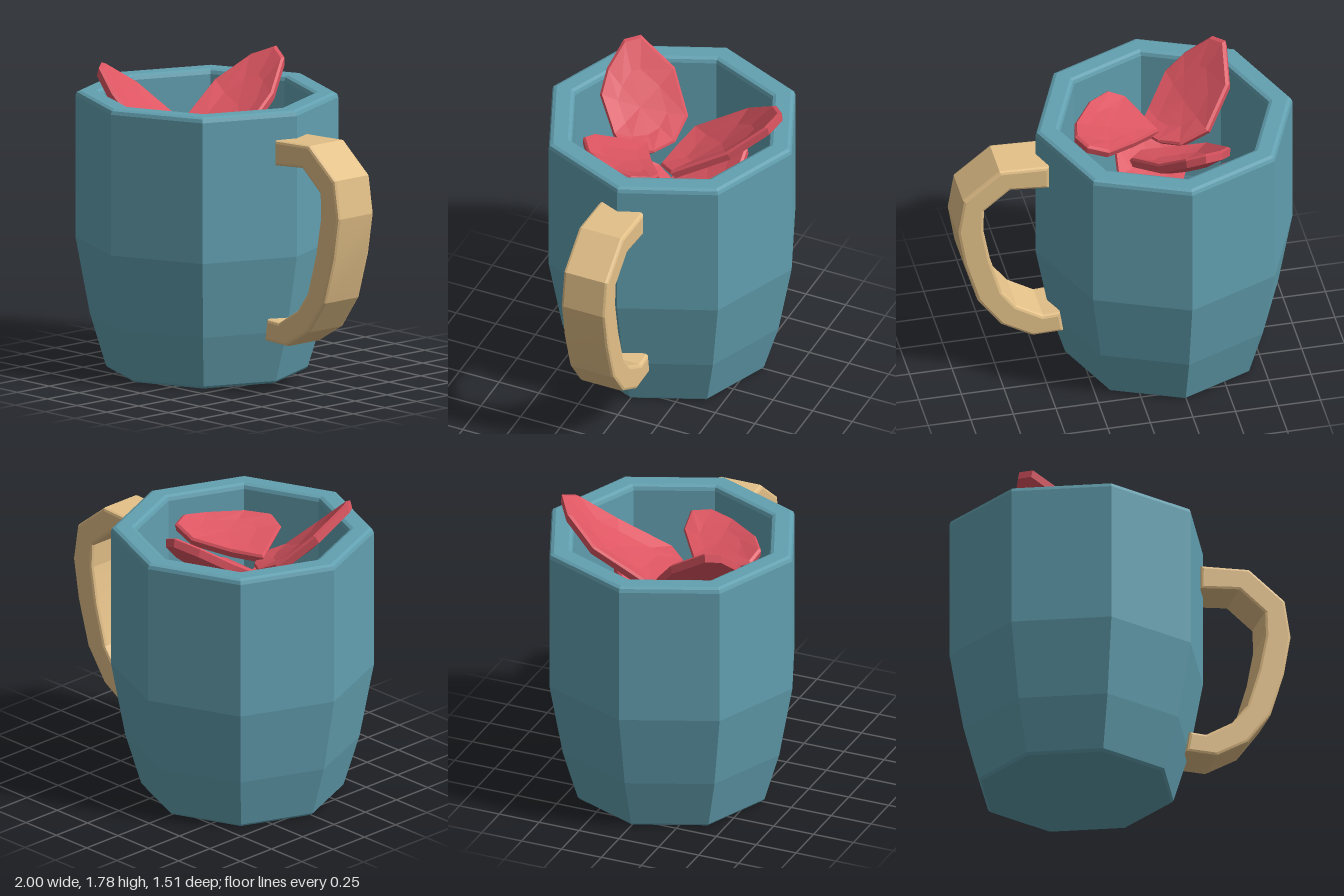
import * as THREE from 'three';
import { toCreasedNormals } from 'three/addons/utils/BufferGeometryUtils.js';

const material = (color, flatShading = true) => new THREE.MeshStandardMaterial({ color, flatShading });

function part(name, geometry, mat) {
  const mesh = new THREE.Mesh(geometry, mat);
  mesh.name = name;
  return mesh;
}

// Thick cupped petal. The outline is [x, z], clockwise from above; the height
// rises from inner to outer along a heading, and the sides curl up by cup.
function petalGeometry({ outline, heading, inner, outer, power = 1.5, cup = 0.06, thickness = 0.055 }) {
  const n = outline.length;
  const dir = new THREE.Vector2(...heading).normalize();
  const side = new THREE.Vector2(-dir.y, dir.x);
  const flat = outline.map((p) => new THREE.Vector2(...p));
  const centre = flat.reduce((a, p) => a.add(p), new THREE.Vector2()).divideScalar(n);
  const along = flat.map((p) => p.dot(dir));
  const lo = Math.min(...along), hi = Math.max(...along);
  const half = Math.max(...flat.map((p) => Math.abs(p.clone().sub(centre).dot(side))));
  const lift = (p) => {
    const t = Math.max(0, (p.dot(dir) - lo) / (hi - lo));
    const s = p.clone().sub(centre).dot(side) / half;
    return new THREE.Vector3(p.x, inner + (outer - inner) * t ** power + cup * s * s * t, p.y);
  };
  // underside shifts against the petal's average normal
  const tilt = (outer - inner) / (hi - lo);
  const under = new THREE.Vector3(tilt * dir.x, -1, tilt * dir.y).normalize().multiplyScalar(thickness);
  const ring = (scale, depth) => flat.map((p) =>
    lift(centre.clone().lerp(p, scale)).addScaledVector(under, depth));
  const rings = [ring(0, 0), ring(0.55, 0), ring(0.94, 0), ring(0.99, 0.3),
    ring(0.95, 1), ring(0.55, 1), ring(0, 1)];

  const verts = [];
  const tri = (...ps) => ps.forEach((p) => verts.push(p.x, p.y, p.z));
  for (let k = 0; k < rings.length - 1; k++) {
    for (let i = 0; i < n; i++) {
      const j = (i + 1) % n;
      const [a, b, c, d] = [rings[k][i], rings[k][j], rings[k + 1][i], rings[k + 1][j]];
      if (k < rings.length - 2) tri(a, d, c);
      if (k > 0) tri(a, b, k < rings.length - 2 ? d : c);
    }
  }
  const g = new THREE.BufferGeometry();
  g.setAttribute('position', new THREE.Float32BufferAttribute(verts, 3));
  g.computeVertexNormals();
  return g;
}

export function createModel() {
  const group = new THREE.Group();

  // Eight-sided cup: outer wall, rounded rim, inner wall and floor
  const profile = [
    [0, 0], [0.565, 0], [0.58, 0.015], [0.672, 0.32], [0.755, 0.77], [0.755, 1.595], [0.747, 1.616],
    [0.727, 1.625], [0.638, 1.625], [0.618, 1.616], [0.61, 1.595], [0.61, 0.77], [0.53, 0.32], [0, 0.32],
  ].map((p) => new THREE.Vector2(...p));
  const cup = part('cup', new THREE.LatheGeometry(profile, 8), material(0x62a0b0));
  cup.position.x = -0.245;
  group.add(cup);

  // Handle: faceted loop extruded across z with softened edges
  const loop = new THREE.Shape([
    [0.46, 1.463], [0.75, 1.475], [0.965, 1.3], [1, 1.08], [0.96, 0.84], [0.88, 0.57], [0.745, 0.38],
    [0.56, 0.27], [0.375, 0.275], [0.395, 0.405], [0.495, 0.4], [0.65, 0.495], [0.735, 0.61],
    [0.805, 0.85], [0.845, 1.07], [0.84, 1.21], [0.69, 1.335], [0.46, 1.315],
  ].map((p) => new THREE.Vector2(...p)));
  const bevel = 0.018;
  const handleGeometry = new THREE.ExtrudeGeometry(loop, {
    depth: 0.28 - 2 * bevel, bevelSize: bevel, bevelThickness: bevel, bevelOffset: -bevel, bevelSegments: 2,
  });
  handleGeometry.translate(0, 0, -0.148 + bevel);
  group.add(part('handle', toCreasedNormals(handleGeometry, 0.2), material(0xe3c088, false)));

  // Petals heaped inside the cup
  const petals = [
    { name: 'backPetal', heading: [-0.1, -1], inner: 1.39, outer: 1.8, power: 1.9, cup: 0.1,
      outline: [[-0.35, -0.64], [-0.24, -0.6], [-0.12, -0.4], [-0.02, -0.08], [-0.1, 0.02],
        [-0.3, 0.01], [-0.5, -0.02], [-0.56, -0.35], [-0.47, -0.55]] },
    { name: 'frontLeftPetal', heading: [-1, 0.55], inner: 1.36, outer: 1.8, power: 1.7, cup: 0.05,
      outline: [[-0.5, 0.01], [-0.34, 0.02], [-0.22, 0.1], [-0.13, 0.24], [-0.22, 0.36],
        [-0.36, 0.51], [-0.48, 0.52], [-0.63, 0.48], [-0.69, 0.4], [-0.66, 0.17]] },
    { name: 'frontRightPetal', heading: [1, 0.3], inner: 1.4, outer: 1.52, cup: 0.07,
      outline: [[0.09, -0.08], [0.22, -0.09], [0.27, 0.02], [0.24, 0.17], [0.11, 0.37],
        [-0.02, 0.46], [-0.12, 0.44], [-0.26, 0.16], [-0.1, 0.06]] },
    { name: 'backRightPetal', heading: [0.5, -1], inner: 1.0, outer: 1.29,
      outline: [[-0.08, -0.43], [0.1, -0.45], [0.18, -0.42], [0.21, -0.25], [0.17, -0.08],
        [0.02, 0.02], [-0.18, -0.02], [-0.2, -0.25]] },
    { name: 'leftPetal', heading: [-1, -0.5], inner: 1.0, outer: 1.27,
      outline: [[-0.6, -0.31], [-0.48, -0.32], [-0.3, -0.2], [-0.25, 0], [-0.42, 0.1],
        [-0.62, 0.09], [-0.7, 0], [-0.69, -0.2]] },
    { name: 'frontPetal', heading: [0.1, 1], inner: 1.08, outer: 1.24,
      outline: [[-0.35, 0], [-0.12, -0.02], [0, 0.12], [-0.02, 0.32], [-0.1, 0.42],
        [-0.2, 0.43], [-0.36, 0.36], [-0.42, 0.15]] },
  ];
  const red = material(0xdc5561);
  for (const p of petals) group.add(part(p.name, petalGeometry(p), red));

  return group;
}
